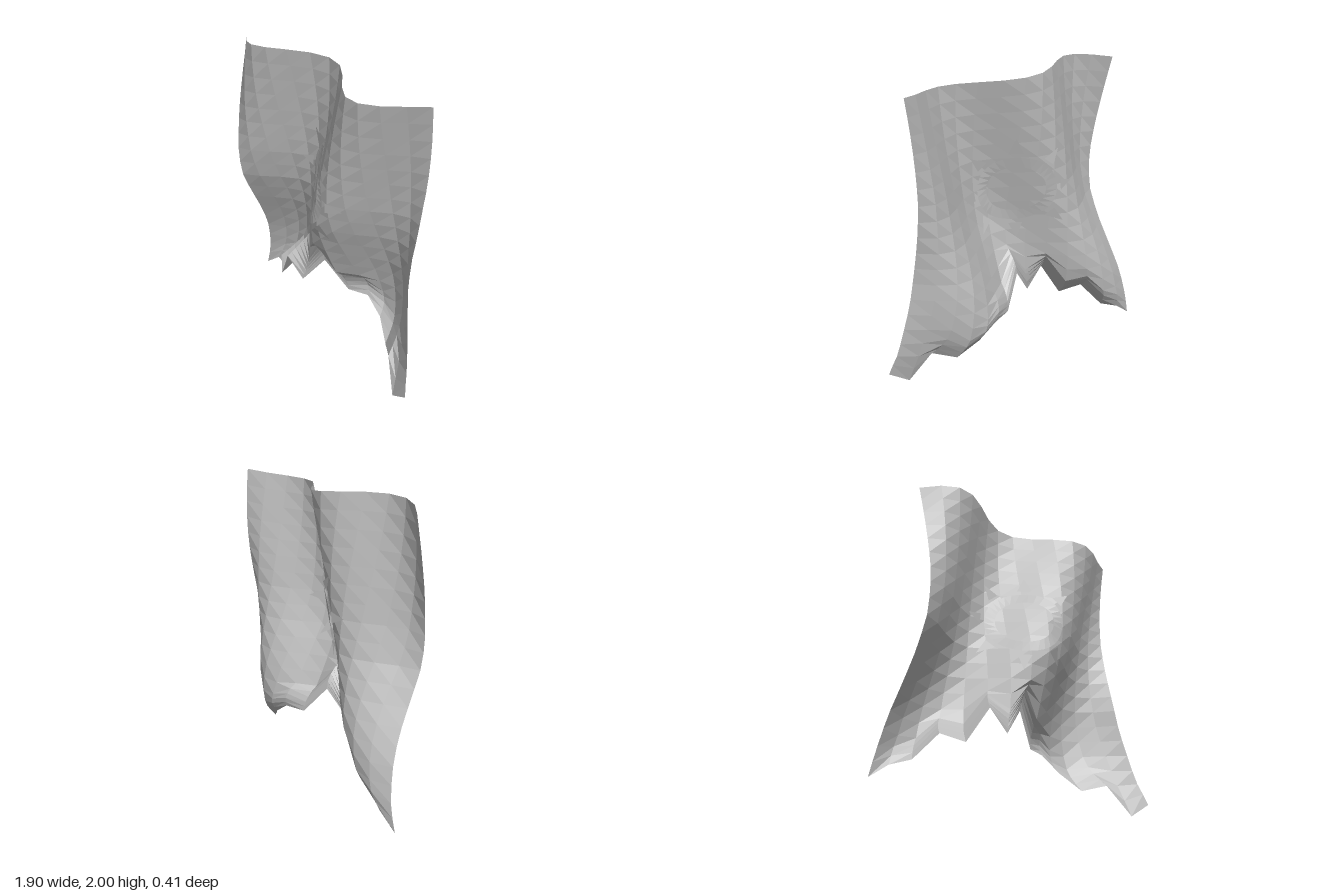
import * as THREE from 'three';

const clothGrey = new THREE.MeshStandardMaterial({ color: 0xbababa, flatShading: true, side: THREE.DoubleSide });
clothGrey.name = 'cloth grey';

// Linear lookup in a short list of [key, value] pairs with rising keys
function lookup(pairs, k) {
  let i = 1;
  while (i < pairs.length - 1 && k > pairs[i][0]) i++;
  const [k0, v0] = pairs[i - 1], [k1, v1] = pairs[i];
  return v0 + (v1 - v0) * THREE.MathUtils.clamp((k - k0) / (k1 - k0), 0, 1);
}

// Rules by height on the untorn cloth: half width, fore-aft drift, depth of the folds, place of a fold crest
const halfWidth = [[0, 0.95], [0.1, 0.93], [0.4, 0.87], [0.6, 0.825], [0.8, 0.795], [1, 0.783], [1.3, 0.785], [1.6, 0.805], [2, 0.832]];
const drift = [[0, -0.015], [0.2, -0.055], [0.4, -0.07], [0.6, -0.055], [0.8, -0.01], [1, 0.028], [1.2, 0.037], [2, 0.022]];
const depth = [[0, 0.135], [0.4, 0.135], [0.8, 0.143], [1, 0.15], [1.4, 0.143], [2, 0.135]];
const crest = [[0, -0.27], [0.4, -0.12], [0.8, 0.06], [1, 0.16], [1.2, 0.25], [1.6, 0.4], [2, 0.54]];

function foldZ(u, level) {
  return lookup(drift, level) + lookup(depth, level) * Math.cos((2 * Math.PI * (u - lookup(crest, level))) / 1.24);
}

// Height of the torn hem at each column
const hem = [0.03, 0.13, 0.17, 0.33, 0.275, 0.51, 0.38, 0.585, 0.38, 0.38, 0.28, 0.165, 0.2, 0.0, 0.09];
const COLS = hem.length - 1, ROWS = 18;

// Surface from a grid of points; place(s, t) returns [x, y, z]
function sheet(cols, rows, place) {
  const pos = [], index = [];
  for (let j = 0; j <= rows; j++)
    for (let i = 0; i <= cols; i++) pos.push(...place(i / cols, j / rows));
  for (let j = 0; j < rows; j++)
    for (let i = 0; i < cols; i++) {
      const a = j * (cols + 1) + i, b = a + cols + 1;
      index.push(a, b, a + 1, b, b + 1, a + 1);
    }
  const g = new THREE.BufferGeometry();
  g.setAttribute('position', new THREE.Float32BufferAttribute(pos, 3));
  g.setIndex(index);
  g.computeVertexNormals();
  return g;
}

// Rows just above the torn hem are gathered up to it but keep their folds
function makeCloth() {
  return sheet(COLS, ROWS, (s, t) => {
    const u = s * 2 - 1;
    const top = 1.963 - 0.037 * Math.sin((2 * Math.PI * u * 0.83) / 1.7);
    const level = top * (1 - t);
    const tear = hem[Math.round(s * COLS)], knee = tear + 0.18;
    const gather = Math.max(0, 1 - level / knee);
    const y = gather > 0 ? THREE.MathUtils.lerp(knee, tear, gather) : level;
    const sway = -0.035 * gather * Math.max(0, Math.cos(Math.PI * (u + 0.4)));
    return [u * lookup(halfWidth, level) + sway, y, foldZ(u, level)];
  });
}

// Point of the emblem, draped over the cloth
const CENTRE = [-0.018, 1.192];
function drape(r, angle, side, offset) {
  const x = CENTRE[0] + 0.94 * r * Math.cos(angle) - offset * Math.sin(angle);
  const y = CENTRE[1] + r * Math.sin(angle) + offset * Math.cos(angle);
  return [x, y, foldZ(x / lookup(halfWidth, y), y) + side * 0.02];
}

function makeEmblem(side) {
  const emblem = new THREE.Group();
  emblem.name = side > 0 ? 'frontEmblem' : 'backEmblem';

  // Flat ring
  const ring = new THREE.Mesh(
    sheet(32, 1, (s, t) => drape(0.235 - 0.07 * t, -s * 2 * Math.PI, side, 0)), clothGrey);
  ring.name = 'sunRing';
  emblem.add(ring);

  // Eight pointed rays
  for (let i = 0; i < 8; i++) {
    const angle = (i * Math.PI) / 4 - 0.11;
    const ray = new THREE.BufferGeometry();
    ray.setAttribute('position', new THREE.Float32BufferAttribute([
      ...drape(0.262, angle, side, -0.038),
      ...drape(0.372, angle, side, 0),
      ...drape(0.262, angle, side, 0.038),
    ], 3));
    ray.computeVertexNormals();
    const mesh = new THREE.Mesh(ray, clothGrey);
    mesh.name = 'sunRay';
    emblem.add(mesh);
  }
  return emblem;
}

export function createModel() {
  const banner = new THREE.Group();
  banner.name = 'tornBanner';
  const cloth = new THREE.Mesh(makeCloth(), clothGrey);
  cloth.name = 'cloth';
  banner.add(cloth, makeEmblem(1), makeEmblem(-1));
  return banner;
}
